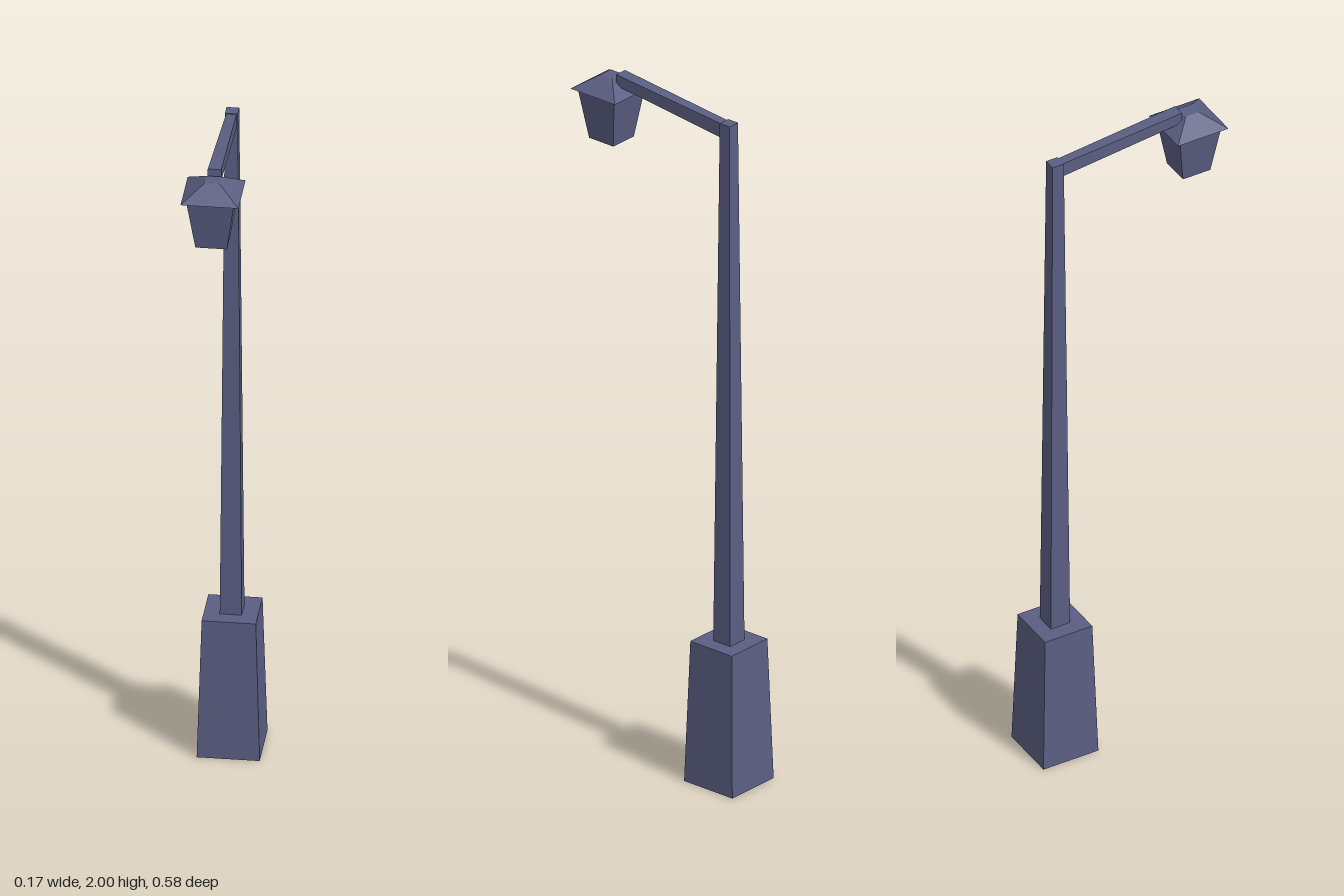
import * as THREE from 'three';

const material = new THREE.MeshStandardMaterial({ color: 0x5a5e82, flatShading: true });

// Square tapered block between two heights, given half widths at each end
function taperedBlock(name, y0, y1, half0, half1, z) {
  const geo = new THREE.CylinderGeometry(half1 * Math.SQRT2, half0 * Math.SQRT2, y1 - y0, 4);
  geo.rotateY(Math.PI / 4);
  geo.translate(0, (y0 + y1) / 2, z);
  const mesh = new THREE.Mesh(geo, material);
  mesh.name = name;
  return mesh;
}

// Sloping arm: a box whose two ends get their own width, top and bottom
function armMesh() {
  const back = { z: -0.2, half: 0.014, top: 1.964, bottom: 1.922 };
  const front = { z: 0.18, half: 0.0185, top: 2.0, bottom: 1.967 };
  const geo = new THREE.BoxGeometry(1, 1, 1);
  const p = geo.attributes.position;
  for (let i = 0; i < p.count; i++) {
    const end = p.getZ(i) > 0 ? front : back;
    p.setXYZ(i, Math.sign(p.getX(i)) * end.half, p.getY(i) > 0 ? end.top : end.bottom, end.z);
  }
  geo.computeVertexNormals();
  const mesh = new THREE.Mesh(geo, material);
  mesh.name = 'arm';
  return mesh;
}

export function createModel() {
  const group = new THREE.Group();
  group.name = 'streetLamp';
  const poleZ = -0.207, lampZ = 0.212;

  // Post
  group.add(
    taperedBlock('base', 0, 0.418, 0.086, 0.074, poleZ),
    taperedBlock('pole', 0.418, 1.967, 0.03, 0.0175, poleZ),
    armMesh()
  );

  // Hanging lantern with a hipped cap
  const lantern = new THREE.Group();
  lantern.name = 'lantern';
  lantern.add(
    taperedBlock('lanternBody', 1.796, 1.945, 0.043, 0.065, lampZ),
    taperedBlock('lanternCap', 1.945, 1.985, 0.079, 0.02, lampZ)
  );
  group.add(lantern);
  return group;
}
